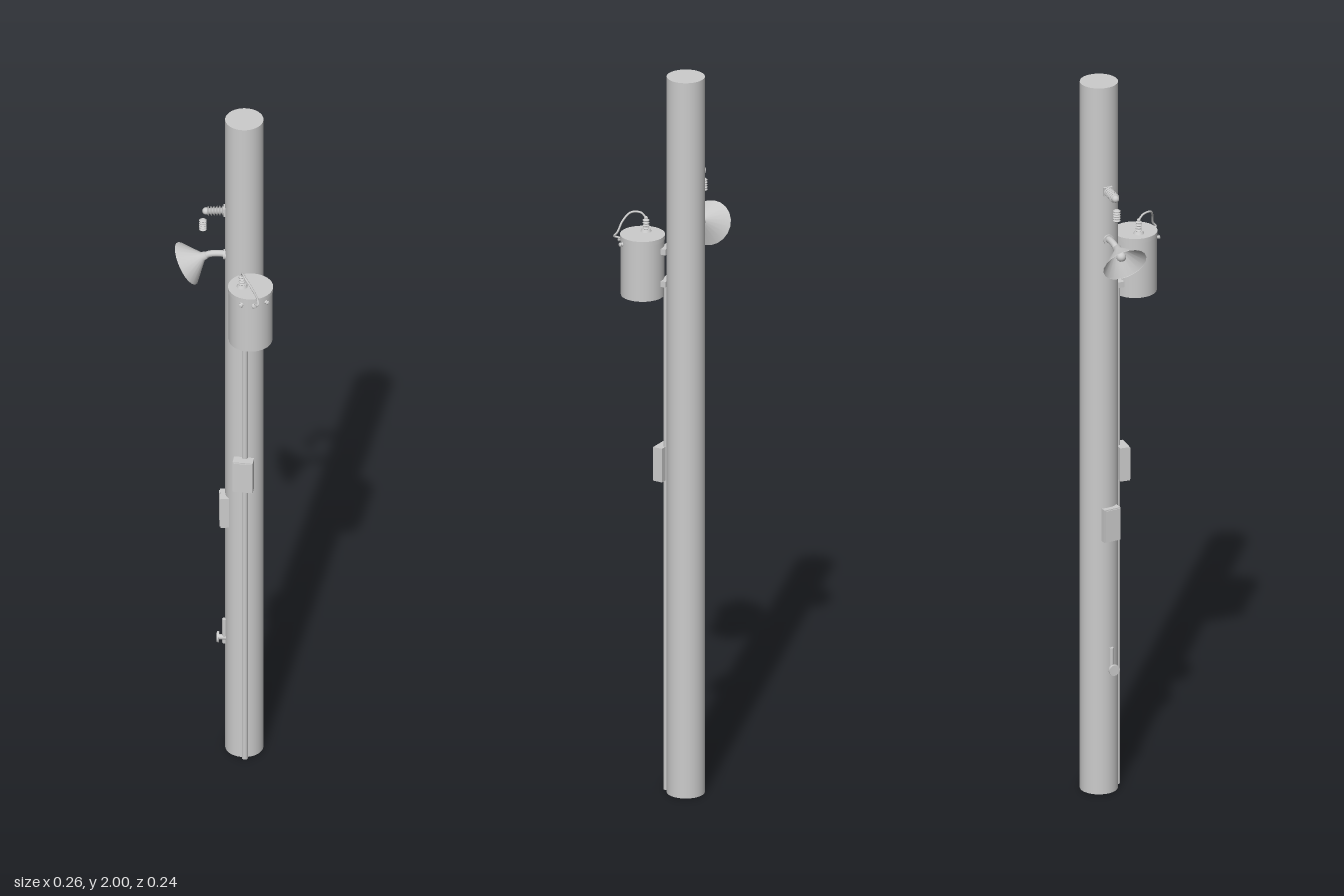
import * as THREE from 'three';

const mat = new THREE.MeshStandardMaterial({ color: 0xcccccc });
const thin = new THREE.MeshStandardMaterial({ color: 0xcccccc, side: THREE.DoubleSide });
const V = (x, y, z) => new THREE.Vector3(x, y, z);

export function createModel() {
  const root = new THREE.Group();

  const add = (name, geo, x = 0, y = 0, z = 0, parent = root, m = mat) => {
    const mesh = new THREE.Mesh(geo, m);
    mesh.name = name;
    mesh.position.set(x, y, z);
    parent.add(mesh);
    return mesh;
  };
  const cyl = (r, h, n = 24) => new THREE.CylinderGeometry(r, r, h, n);
  const tube = (pts, r, n = 32) =>
    new THREE.TubeGeometry(new THREE.CatmullRomCurve3(pts), n, r, 10, false);
  // Lathe along +y with thin sheds on a core
  const insulator = (length, rOut, rCore, sheds) => {
    const pts = [new THREE.Vector2(0, 0), new THREE.Vector2(rCore, 0)];
    const step = length / sheds;
    for (let i = 0; i < sheds; i++) {
      const y = i * step;
      pts.push(
        new THREE.Vector2(rCore, y + step * 0.25),
        new THREE.Vector2(rOut, y + step * 0.4),
        new THREE.Vector2(rOut, y + step * 0.55),
        new THREE.Vector2(rCore, y + step * 0.85));
    }
    pts.push(new THREE.Vector2(rCore, length), new THREE.Vector2(0, length));
    return new THREE.LatheGeometry(pts, 20);
  };

  // Pole
  const px = 0.048, pz = -0.068, pr = 0.05;
  add('pole', cyl(pr, 2, 48), px, 1, pz);

  // Cable conduit down the front
  add('conduit', cyl(0.008, 1.42, 12), 0.053, 0.71, -0.014);

  // Transformer can
  const can = new THREE.Group();
  can.name = 'transformer';
  can.position.set(0.072, 0, 0.046);
  root.add(can);
  add('canBody', cyl(0.057, 0.166, 40), 0, 1.463, 0, can);
  add('canLid', cyl(0.059, 0.012, 40), 0, 1.542, 0, can);
  for (const y of [1.42, 1.51]) {
    add('canBracket', new THREE.BoxGeometry(0.05, 0.016, 0.02), -0.018, y, -0.06, can);
  }
  // Side terminals around the front of the can
  for (const a of [-0.36, 0.22, 0.86]) {
    const stub = add('terminal', insulator(0.012, 0.006, 0.004, 2),
      Math.sin(a) * 0.054, 1.527, Math.cos(a) * 0.054, can);
    stub.rotation.set(Math.PI / 2, 0, -a, 'XYZ');
  }
  // Lid bushing and looped lead
  add('bushingBase', new THREE.CylinderGeometry(0.011, 0.015, 0.008, 20), 0.05, 1.551, 0.047);
  add('bushing', insulator(0.03, 0.009, 0.005, 4), 0.05, 1.553, 0.047);
  add('bushingCap', new THREE.SphereGeometry(0.005, 12, 8), 0.05, 1.585, 0.047);
  add('leadWire', tube([V(0.05, 1.585, 0.047), V(0.052, 1.598, 0.06), V(0.062, 1.598, 0.085),
    V(0.08, 1.578, 0.1), V(0.095, 1.55, 0.108), V(0.096, 1.538, 0.117),
    V(0.09, 1.534, 0.108), V(0.087, 1.53, 0.1)], 0.0028, 48));

  // Lamp: bent arm and flared shade tipped outward
  add('lampPlate', cyl(0.014, 0.008, 16), -0.002, 1.57, -0.064).rotation.z = Math.PI / 2;
  add('lampArm', tube([V(0.004, 1.571, -0.064), V(-0.025, 1.572, -0.064),
    V(-0.046, 1.568, -0.064), V(-0.06, 1.557, -0.064)], 0.009));
  const lamp = new THREE.Group();
  lamp.name = 'lamp';
  lamp.position.set(-0.103, 1.537, -0.062);
  lamp.rotation.z = -Math.PI / 3;
  root.add(lamp);
  const shade = [[0.06, 0], [0.06, 0.002], [0.012, 0.049], [0.01, 0.06], [0, 0.061]]
    .map(([r, y]) => new THREE.Vector2(r, y));
  add('lampShade', new THREE.LatheGeometry(shade, 20), 0, 0, 0, lamp, thin);
  add('lampBulb', new THREE.SphereGeometry(0.013, 16, 12), 0, 0.027, 0, lamp);

  // Upper line insulator, sticking out and drooping slightly
  const arm = new THREE.Group();
  arm.name = 'lineInsulator';
  arm.position.set(0.002, 1.708, -0.066);
  arm.rotation.z = Math.PI / 2 + 0.07;
  root.add(arm);
  add('insulatorFoot', new THREE.BoxGeometry(0.024, 0.008, 0.024), 0, 0.004, 0, arm);
  add('insulatorSheds', insulator(0.046, 0.013, 0.008, 6), 0, 0.006, 0, arm);
  add('insulatorTip', new THREE.SphereGeometry(0.01, 14, 10), 0, 0.054, 0, arm);

  // Separate hanging insulator
  add('hangingInsulator', insulator(0.034, 0.01, 0.006, 5), -0.06, 1.643, -0.066);

  // Switch boxes
  const box = (name, w, h, d, x, y, z, turn) => {
    const g = new THREE.Group();
    g.name = name;
    g.position.set(x, y, z);
    g.rotation.y = turn;
    root.add(g);
    add(name + 'Case', new THREE.BoxGeometry(w, h, d), 0, 0, 0, g);
    add(name + 'Door', new THREE.BoxGeometry(w * 0.9, h * 0.94, 0.003), 0, 0, d / 2 + 0.001, g);
  };
  box('frontBox', 0.053, 0.094, 0.027, 0.05, 0.912, -0.002, -0.08);
  box('sideBox', 0.048, 0.092, 0.024, -0.002, 0.764, -0.058, -Math.PI / 2 + 0.1);

  // Small valve low on the side
  add('valvePipe', cyl(0.006, 0.075, 12), -0.003, 0.375, -0.055);
  add('valveStem', cyl(0.007, 0.022, 12), -0.01, 0.355, -0.055).rotation.z = Math.PI / 2;
  add('valveHandle', cyl(0.015, 0.006, 16), -0.02, 0.355, -0.055).rotation.z = Math.PI / 2;

  return root;
}
